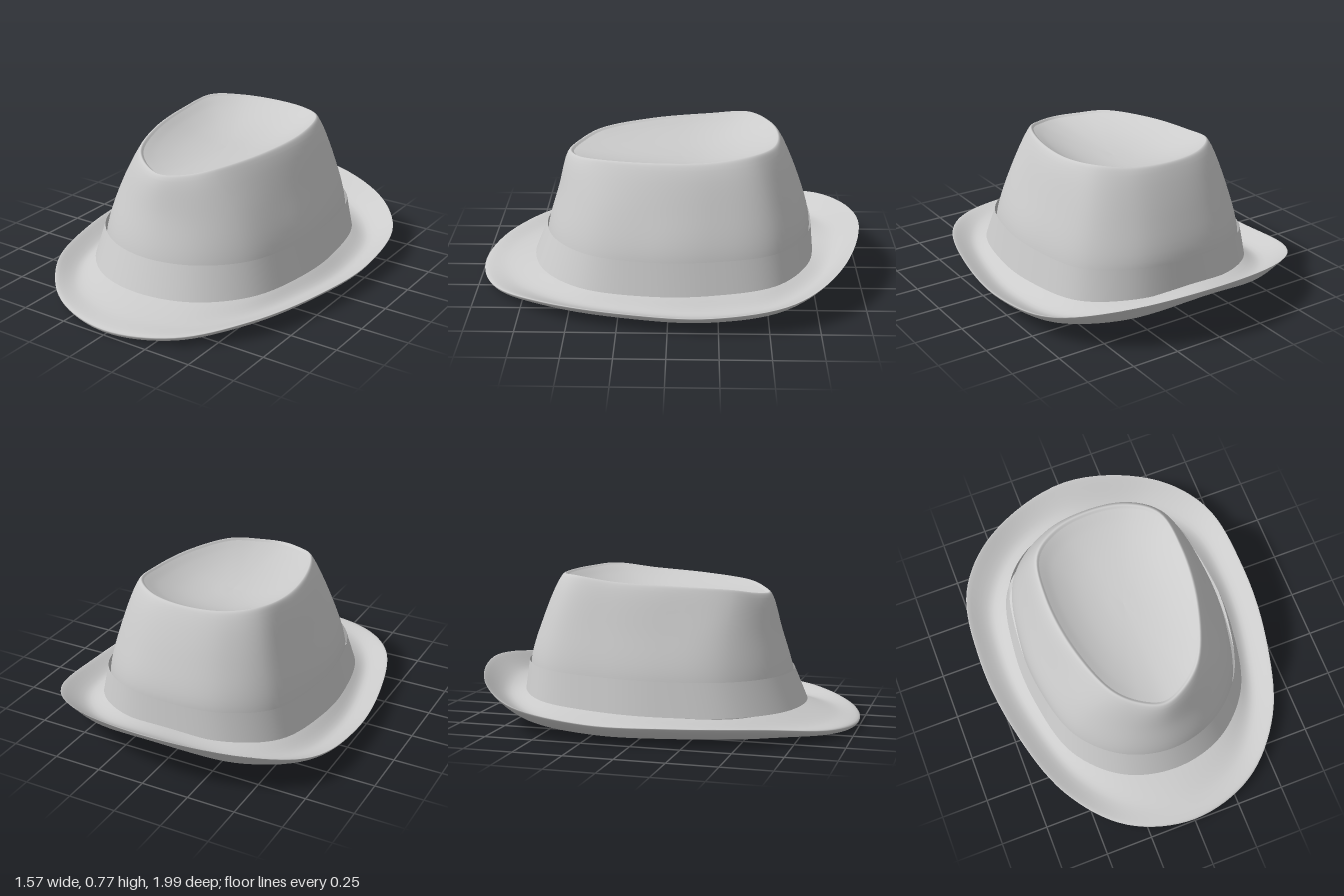
import * as THREE from 'three';
import { toCreasedNormals } from 'three/addons/utils/BufferGeometryUtils.js';

const SEGMENTS = 112;
const V = (x, y, z) => new THREE.Vector3(x, y, z);
const material = new THREE.MeshStandardMaterial({ color: 0xcccccc, side: THREE.DoubleSide });

// Half outlines [x, y, z], from front centre round the left side to back centre.
const brimEdge = [[0, .032, .997], [.35, .052, .9], [.6, .092, .63], [.74, .1, .2],
  [.782, .105, -.22], [.72, .155, -.62], [.48, .225, -.865], [0, .28, -.997]];
const brimDip = [[0, .055, .87], [.3, .052, .79], [.51, .054, .56], [.63, .056, .18],
  [.665, .06, -.2], [.61, .09, -.54], [.38, .145, -.78], [0, .2, -.865]];
const brimRoot = [[0, .1, .69], [.27, .1, .62], [.47, .095, .43], [.56, .105, .1],
  [.57, .115, -.2], [.49, .135, -.54], [.29, .16, -.69], [0, .17, -.73]];
const bandBottom = [[0, .11, .72], [.28, .11, .65], [.49, .112, .44], [.58, .115, .1],
  [.588, .125, -.2], [.51, .145, -.54], [.3, .165, -.71], [0, .17, -.752]];
const bandTop = [[0, .275, .652], [.255, .277, .587], [.452, .28, .4], [.542, .284, .1],
  [.552, .292, -.2], [.48, .305, -.53], [.28, .315, -.695], [0, .316, -.738]];
const crownBase = [[0, .27, .645], [.25, .27, .579], [.44, .274, .393], [.526, .28, .1],
  [.537, .29, -.2], [.468, .3, -.523], [.275, .305, -.687], [0, .306, -.731]];
const crownMiddle = [[0, .48, .585], [.2, .48, .53], [.365, .5, .37], [.452, .5, .08],
  [.468, .52, -.21], [.415, .53, -.49], [.24, .53, -.63], [0, .53, -.67]];
const crownShoulder = [[0, .65, .54], [.137, .657, .492], [.255, .68, .382], [.363, .7, .1],
  [.397, .715, -.2], [.359, .728, -.435], [.215, .73, -.548], [0, .73, -.583]];
const crownRim = [[0, .676, .52], [.122, .686, .475], [.234, .71, .372], [.338, .731, .1],
  [.372, .748, -.2], [.336, .772, -.415], [.2, .765, -.522], [0, .762, -.558]];

// Inset an outline horizontally by a distance and shift it vertically.
const shift = (half, inset, dy) => half.map(([x, y, z]) => {
  const r = Math.hypot(x, z), k = (r - inset) / r;
  return [x * k, y + dy, z * k];
});

// Mirror a half outline and sample it as a smooth closed ring.
function ring(half) {
  const left = half.map(p => V(...p));
  const right = half.slice(1, -1).reverse().map(([x, y, z]) => V(-x, y, z));
  const curve = new THREE.CatmullRomCurve3([...left, ...right], true);
  return Array.from({ length: SEGMENTS }, (_, j) => curve.getPoint(j / SEGMENTS));
}

// Skin rings, with 'steps' smooth rows between neighbouring rings.
function loft(halves, steps) {
  const rings = halves.map(ring);
  const rows = (rings.length - 1) * steps;
  const positions = [], index = [];
  const columns = Array.from({ length: SEGMENTS }, (_, j) =>
    new THREE.CatmullRomCurve3(rings.map(r => r[j])));
  for (let i = 0; i <= rows; i++) {
    for (const column of columns) positions.push(...column.getPoint(i / rows).toArray());
  }
  for (let i = 0; i < rows; i++) {
    for (let j = 0; j < SEGMENTS; j++) {
      const k = (j + 1) % SEGMENTS;
      const a = i * SEGMENTS + j, b = i * SEGMENTS + k;
      index.push(a, b, a + SEGMENTS, b, b + SEGMENTS, a + SEGMENTS);
    }
  }
  const geometry = new THREE.BufferGeometry();
  geometry.setAttribute('position', new THREE.Float32BufferAttribute(positions, 3));
  geometry.setIndex(index);
  geometry.computeVertexNormals();
  return geometry;
}

export function createModel() {
  const hat = new THREE.Group();
  hat.name = 'hat';
  const add = (name, geometry) => {
    const mesh = new THREE.Mesh(geometry, material);
    mesh.name = name;
    hat.add(mesh);
  };

  // Brim: underside, rounded edge and upper side
  const opening = shift(brimRoot, .025, -.01);
  add('brim', loft([
    opening, shift(brimDip, 0, -.03), shift(brimEdge, .02, -.026),
    brimEdge, brimDip, shift(brimRoot, .01, .005)], 6));

  // Crown wall, from the brim up over the rounded rim
  const crease = shift(crownRim, .017, -.01);
  add('crown', loft([
    opening, crownBase, crownMiddle, crownShoulder, crownRim, crease], 6));

  // Sunken top of the crown, meeting the rim at a crease
  const dish = (scale, blend) => crease.map(([x, y, z]) => [
    x * scale, y + (.64 - y) * blend, -.06 + (z + .06) * scale]);
  add('crownTop', loft([crease, dish(.85, .33), dish(.6, .7), dish(.3, .93), dish(0, 1)], 4));

  // Hat band: a thin sheet standing slightly off the crown
  add('band', toCreasedNormals(loft([
    shift(bandBottom, .02, 0), bandBottom, bandTop], 1), .7));

  return hat;
}
